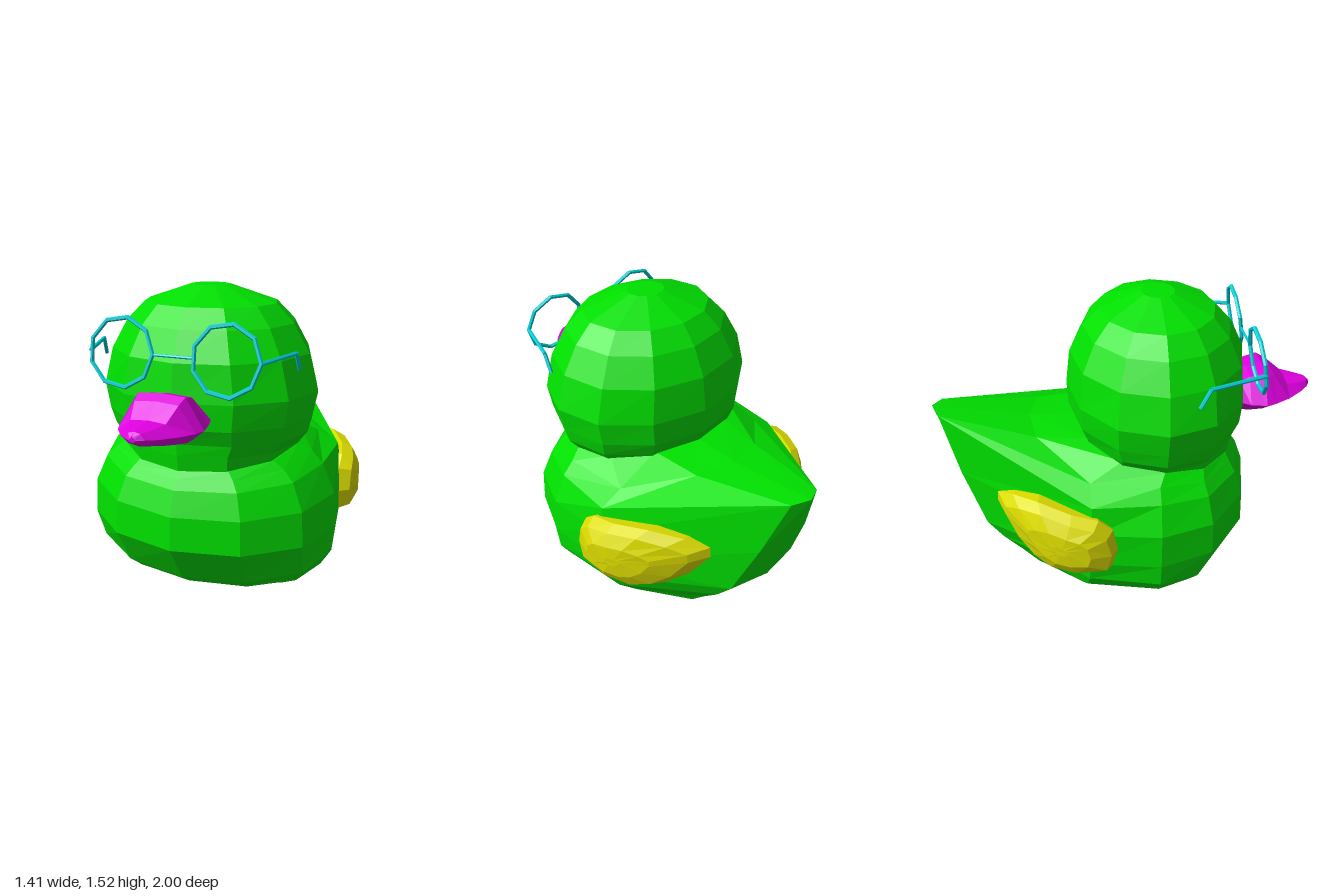
import * as THREE from 'three';

const material = color => new THREE.MeshStandardMaterial({ color, flatShading: true });
const GREEN = material(0x00e000), MAGENTA = material(0xe000e0);
const YELLOW = material(0xdddd00), CYAN = material(0x00d0d8);

const V = (x, y, z) => new THREE.Vector3(x, y, z);

// Skin a list of closed rings (right-handed around the direction of travel) and cap both ends
function loft(rings) {
  const pos = [];
  const tri = (...pts) => pts.forEach(p => pos.push(p.x, p.y, p.z));
  const centre = ring => ring.reduce((s, p) => s.add(p), V(0, 0, 0)).divideScalar(ring.length);
  const n = rings[0].length, last = rings[rings.length - 1];
  const c0 = centre(rings[0]), c1 = centre(last);
  for (let j = 0; j < n; j++) {
    const k = (j + 1) % n;
    for (let i = 0; i < rings.length - 1; i++) {
      const a = rings[i], b = rings[i + 1];
      tri(a[j], a[k], b[k]);
      tri(a[j], b[k], b[j]);
    }
    tri(c0, rings[0][k], rings[0][j]);
    tri(c1, last[j], last[k]);
  }
  const geo = new THREE.BufferGeometry();
  geo.setAttribute('position', new THREE.Float32BufferAttribute(pos, 3));
  geo.computeVertexNormals();
  return geo;
}

function part(name, geometry, mat) {
  const mesh = new THREE.Mesh(geometry, mat);
  mesh.name = name;
  return mesh;
}

// Twelve-sided ring; slope tilts it along z
function ellipseRing(y, rx, rz, cz, slope = 0) {
  return Array.from({ length: 12 }, (_, j) => {
    const a = j * Math.PI / 6, z = cz + rz * Math.cos(a);
    return V(rx * Math.sin(a), y + slope * (z - cz), z);
  });
}

// Body ring: round at the front, drawn out to a pointed tail at the back
function bodyRing([yFront, ySide, yTail, zFront, zTail, rx, flankX, zFlank, tailX]) {
  const cz = 0.14, zStrip = zTail + 0.04;
  const front = [0, 30, 60, 90].map(d => {
    const a = d * Math.PI / 180, c = Math.cos(a);
    return V(rx * Math.sin(a), ySide + (yFront - ySide) * c, cz + (zFront - cz) * c);
  });
  const rise = (zStrip - zFlank) / (zTail - zFlank);
  const half = [...front, V(flankX, ySide, zFlank), V(tailX, ySide + (yTail - ySide) * rise, zStrip)];
  const mirrored = half.slice(1).reverse().map(p => V(-p.x, p.y, p.z));
  return [...half, V(0, yTail, zTail), ...mirrored];
}

function createBody() {
  const rings = [
    [0, 0, 0, 0.37, -0.54, 0.49, 0.43, -0.25, 0.24],
    [0.04, 0.09, 0.1, 0.48, -0.63, 0.6, 0.53, -0.23, 0.235],
    [0.1, 0.18, 0.19, 0.56, -0.72, 0.655, 0.58, -0.22, 0.23],
    [0.31, 0.31, 0.29, 0.69, -0.8, 0.665, 0.61, -0.21, 0.22],
    [0.48, 0.5, 0.6, 0.68, -0.91, 0.655, 0.61, -0.2, 0.16],
    [0.6, 0.65, 0.92, 0.635, -1, 0.59, 0.585, -0.2, 0.085],
    [0.645, 0.715, 0.84, 0.605, -0.5, 0.53, 0.47, -0.2, 0.2],
  ].map(bodyRing);
  rings.push(ellipseRing(0.757, 0.47, 0.41, 0.17, -0.185));
  return part('body', loft(rings), GREEN);
}

function createHead() {
  const profile = [[0.66, 0.45, 0.405], [0.76, 0.47, 0.42], [0.82, 0.515, 0.425], [0.9, 0.535, 0.46],
    [1.03, 0.56, 0.467], [1.21, 0.51, 0.445], [1.35, 0.43, 0.375], [1.44, 0.34, 0.29], [1.52, 0.1, 0.085]];
  return part('head', loft(profile.map(([y, rx, rz]) => ellipseRing(y, rx, rz, 0.173))), GREEN);
}

function createBill() {
  // z, half width, middle height, top, bottom
  const sections = [[0.6, 0.18, 0.96, 1.05, 0.86], [0.65, 0.19, 0.95, 1.08, 0.85],
    [0.73, 0.205, 0.95, 1.1, 0.863], [0.78, 0.188, 0.95, 1.075, 0.875], [0.86, 0.15, 0.955, 1.012, 0.895],
    [0.94, 0.09, 0.96, 1.002, 0.92], [0.98, 0.05, 0.965, 0.998, 0.94], [1.0, 0.018, 0.965, 0.98, 0.955]];
  const rings = sections.map(([z, w, mid, top, bot]) => [
    [1, mid], [0.57, top - 0.008], [0, top], [-0.57, top - 0.008],
    [-1, mid], [-0.6, bot + (mid - bot) * 0.25], [0, bot], [0.6, bot + (mid - bot) * 0.25],
  ].map(([x, y]) => V(x * w, y, z)));
  return part('bill', loft(rings), MAGENTA);
}

// Wing: a domed leaf that curves along the flank
function createWing(side) {
  const outline = [[0.42, -0.07], [0.31, -0.1], [0.27, -0.27], [0.262, -0.42], [0.3, -0.52], [0.38, -0.61],
    [0.5, -0.68], [0.56, -0.675], [0.61, -0.59], [0.64, -0.46], [0.62, -0.3], [0.6, -0.17], [0.54, -0.1]];
  const layers = [[0.9, -0.24], [1, -0.1], [0.86, -0.04], [0.5, -0.005], [0.12, 0]];
  const rings = layers.map(([scale, depth]) => {
    const ring = outline.map(([y, z]) => {
      const zz = -0.36 + (z + 0.36) * scale;
      return V(side * (0.72 - 1.06 * (zz + 0.12) ** 2 + depth), 0.45 + (y - 0.45) * scale, zz);
    });
    return side > 0 ? ring : ring.reverse();
  });
  return part(side > 0 ? 'leftWing' : 'rightWing', loft(rings), YELLOW);
}

// Straight wire between two points
function rod(name, a, b, radius = 0.01) {
  const mesh = part(name, new THREE.CylinderGeometry(radius, radius, a.distanceTo(b), 6), CYAN);
  mesh.position.copy(a).lerp(b, 0.5);
  mesh.quaternion.setFromUnitVectors(V(0, 1, 0), b.clone().sub(a).normalize());
  return mesh;
}

// Glasses sit slightly off-centre, with nine-sided rims leaning back
function createGlasses() {
  const glasses = new THREE.Group();
  glasses.name = 'glasses';
  const y = 1.246, z = 0.637;
  const sides = [['left', 0.268, 0.43, 0.5, 0.503], ['right', -0.25, -0.41, -0.51, -0.53]];
  for (const [label, rimX, hingeX, bendX, tipX] of sides) {
    const rim = part(label + 'Rim', new THREE.TorusGeometry(0.162, 0.011, 6, 9), CYAN);
    rim.position.set(rimX, y, z);
    rim.rotation.x = -0.165;
    const bend = V(bendX, y, 0.36);
    glasses.add(rim, rod(label + 'Temple', V(hingeX, y, z), bend),
      rod(label + 'EarHook', bend, V(tipX, 1.16, 0.31)));
  }
  glasses.add(rod('bridge', V(-0.088, y, z), V(0.116, y, z), 0.007));
  return glasses;
}

export function createModel() {
  const model = new THREE.Group();
  model.name = 'duck';
  model.add(createBody(), createHead(), createBill(), createWing(1), createWing(-1), createGlasses());
  return model;
}
